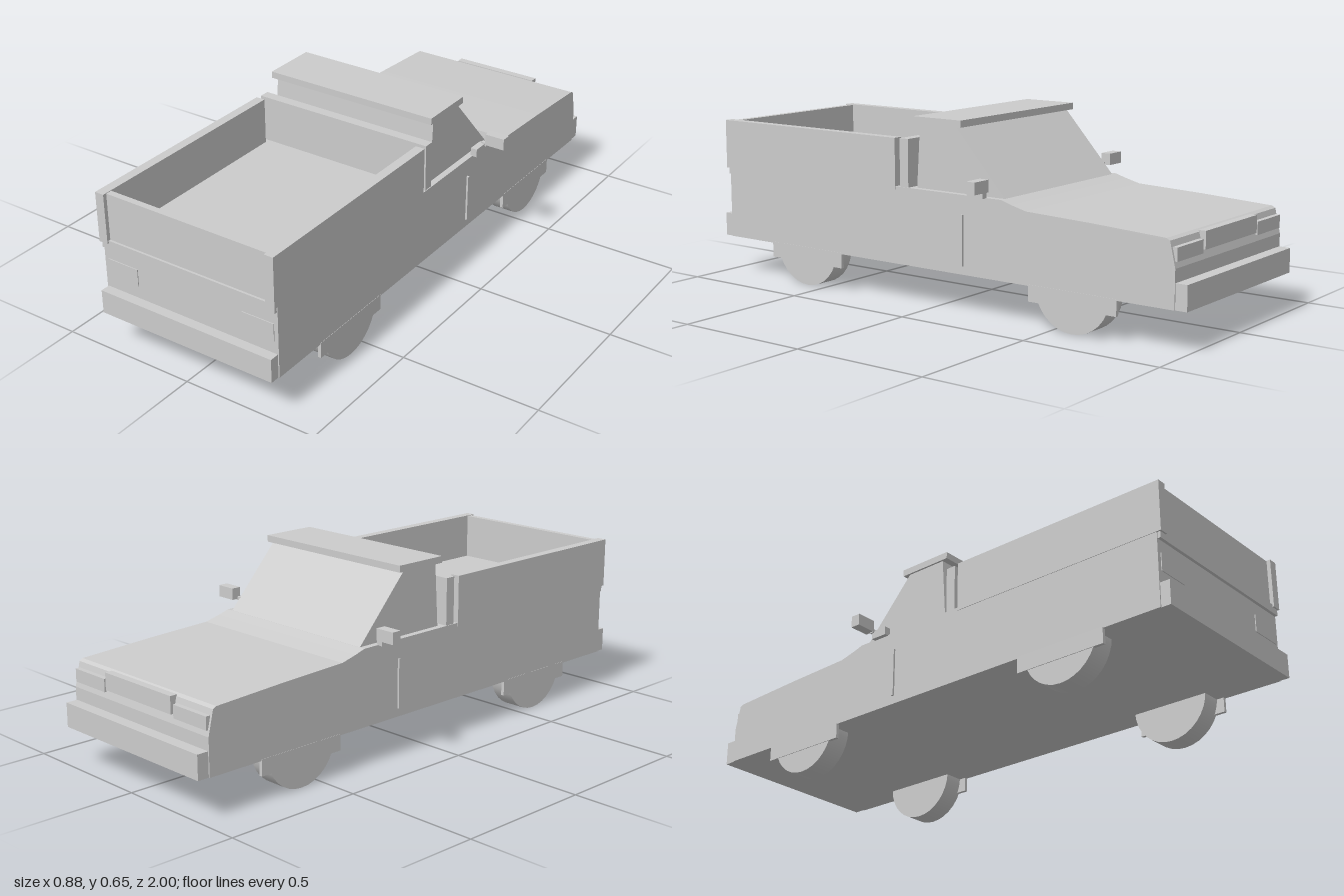
import * as THREE from 'three';

export function createModel() {
  const truck = new THREE.Group();
  truck.name = 'pickupTruck';
  const grey = new THREE.MeshStandardMaterial({ color: 0xcccccc });
  grey.name = 'light grey';

  const add = (name, geometry) => {
    const mesh = new THREE.Mesh(geometry, grey);
    mesh.name = name;
    truck.add(mesh);
    return mesh;
  };

  // box given by its limits on each axis
  const box = (name, [x0, x1], [y0, y1], [z0, z1]) => {
    const mesh = add(name, new THREE.BoxGeometry(x1 - x0, y1 - y0, z1 - z0));
    mesh.position.set((x0 + x1) / 2, (y0 + y1) / 2, (z0 + z1) / 2);
    return mesh;
  };

  // the same box on both sides
  const pair = (name, [x0, x1], y, z) => {
    box(name + 'Left', [x0, x1], y, z);
    box(name + 'Right', [-x1, -x0], y, z);
  };

  // side profile of [z, y] points, extruded across x
  const slab = (name, points, halfWidth) => {
    const shape = new THREE.Shape(points.map(([z, y]) => new THREE.Vector2(-z, y)));
    const geometry = new THREE.ExtrudeGeometry(shape, { depth: halfWidth * 2, bevelEnabled: false });
    geometry.translate(0, 0, -halfWidth).rotateY(Math.PI / 2);
    return add(name, geometry);
  };

  // lower body with the sloping bonnet and nose
  slab('body', [
    [0.965, 0.14], [0.965, 0.412], [-0.3, 0.412], [-0.34, 0.4], [-0.4, 0.385],
    [-0.65, 0.376], [-0.925, 0.362], [-0.938, 0.355], [-0.958, 0.27], [-0.958, 0.14],
  ], 0.348);

  // cab, raked windscreen and roof
  slab('cab', [[0.075, 0.41], [0.06, 0.64], [-0.09, 0.64], [-0.3, 0.41]], 0.325);
  box('roof', [-0.332, 0.332], [0.634, 0.658], [-0.12, 0.085]);
  box('rearBar', [-0.345, 0.345], [0.41, 0.58], [0.098, 0.135]);

  // open load bed
  pair('bedWall', [0.316, 0.35], [0.4, 0.58], [0.153, 0.982]);
  box('tailgate', [-0.317, 0.317], [0.41, 0.578], [0.945, 0.968]);
  box('tailgateLedge', [-0.345, 0.345], [0.378, 0.41], [0.95, 0.976]);
  pair('tailLamp', [0.21, 0.333], [0.27, 0.333], [0.96, 0.968]);

  // bumpers
  box('rearBumper', [-0.344, 0.344], [0.14, 0.225], [0.955, 1]);
  box('frontBumper', [-0.344, 0.344], [0.14, 0.225], [-1, -0.95]);

  // grille and headlamps
  box('grille', [-0.17, 0.17], [0.3, 0.36], [-0.962, -0.935]);
  pair('headlamp', [0.18, 0.34], [0.29, 0.335], [-0.96, -0.94]);

  // door seams and mirrors
  pair('doorSeam', [0.345, 0.355], [0.17, 0.345], [-0.143, -0.135]);
  pair('mirrorMount', [0.34, 0.364], [0.41, 0.44], [-0.235, -0.172]);
  pair('mirror', [0.366, 0.44], [0.436, 0.478], [-0.262, -0.226]);
  pair('mirrorArm', [0.35, 0.37], [0.432, 0.445], [-0.24, -0.225]);

  // wheels with side skirts
  for (const z of [0.58, -0.58]) {
    pair('wheelSkirt', [0.337, 0.349], [0.088, 0.145], [z - 0.17, z + 0.17]);
    for (const side of [1, -1]) {
      const wheel = add('wheel', new THREE.CylinderGeometry(0.144, 0.144, 0.081, 32));
      wheel.rotation.z = Math.PI / 2;
      wheel.position.set(side * 0.306, 0.148, z);
    }
  }

  return truck;
}
